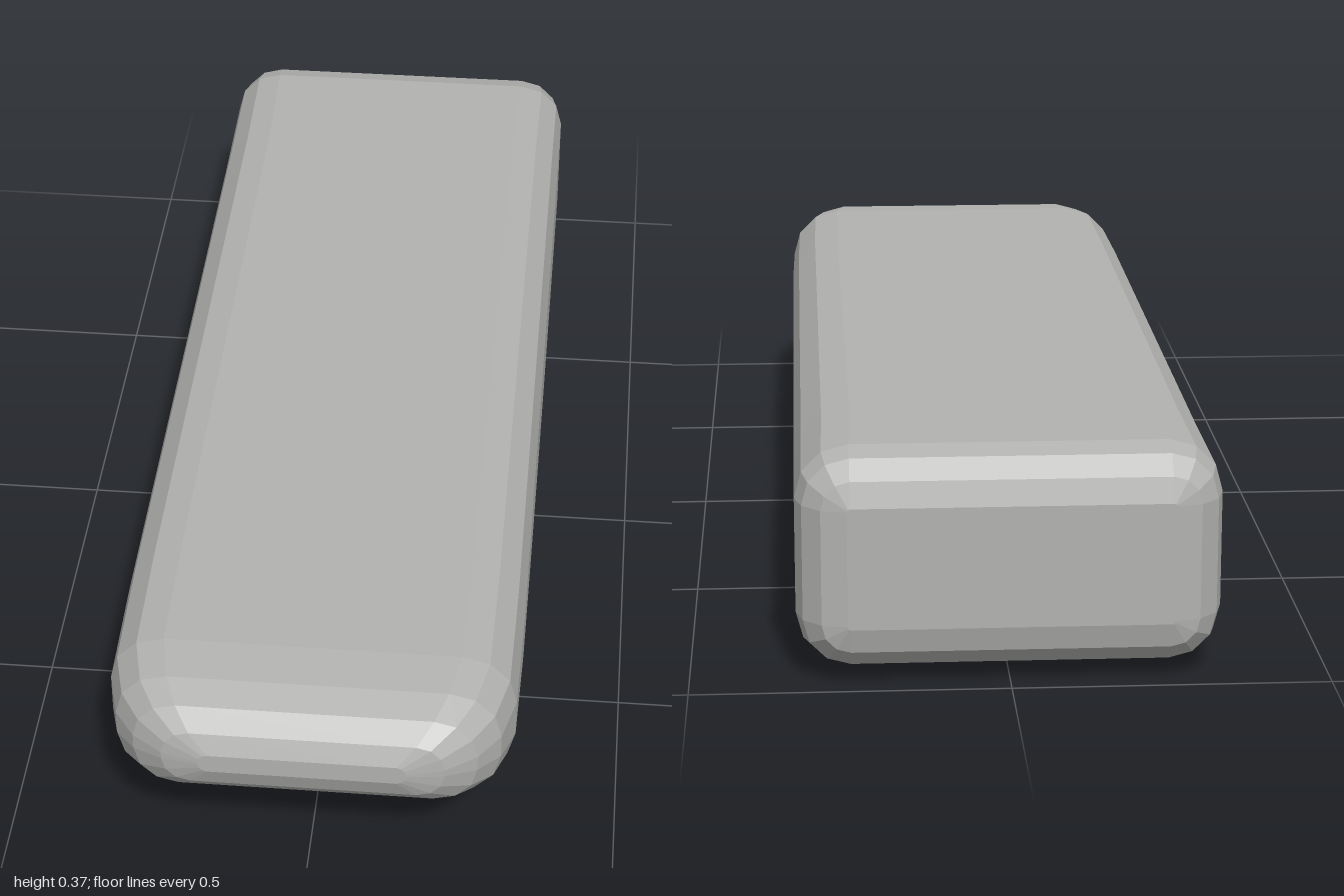
import * as THREE from 'three';

// Cross-sections from front to back: z, half width, bottom, top, corner radius
const SECTIONS = [
  [1.0, 0.165, 0.262, 0.296, 0.015],
  [0.985, 0.225, 0.225, 0.328, 0.045],
  [0.95, 0.275, 0.185, 0.353, 0.07],
  [0.9, 0.31, 0.155, 0.368, 0.085],
  [0.82, 0.33, 0.126, 0.375, 0.09],
  [0.6, 0.333, 0.096, 0.375, 0.09],
  [0.4, 0.333, 0.066, 0.375, 0.09],
  [0.2, 0.333, 0.041, 0.375, 0.09],
  [0, 0.333, 0.022, 0.375, 0.09],
  [-0.2, 0.333, 0.01, 0.375, 0.09],
  [-0.45, 0.333, 0.005, 0.375, 0.09],
  [-0.7, 0.333, 0.01, 0.375, 0.09],
  [-0.92, 0.333, 0.02, 0.375, 0.085],
  [-0.96, 0.322, 0.031, 0.364, 0.074],
  [-0.989, 0.293, 0.06, 0.335, 0.045],
  [-1, 0.253, 0.1, 0.295, 0.005],
];
const CORNER_STEPS = 3;

// Rounded rectangle ring, counter-clockwise seen from the front
function ring([z, w, bottom, top, r]) {
  const points = [];
  const corners = [[w - r, top - r], [r - w, top - r], [r - w, bottom + r], [w - r, bottom + r]];
  corners.forEach(([cx, cy], q) => {
    for (let s = 0; s <= CORNER_STEPS; s++) {
      const a = (q + s / CORNER_STEPS) * Math.PI / 2;
      points.push([cx + r * Math.cos(a), cy + r * Math.sin(a), z]);
    }
  });
  return points;
}

// Height of the curved underside at a given z
function undersideY(z) {
  for (let i = 0; i < SECTIONS.length - 1; i++) {
    const a = SECTIONS[i], b = SECTIONS[i + 1];
    if (z <= a[0] && z >= b[0]) return THREE.MathUtils.mapLinear(z, a[0], b[0], a[2], b[2]);
  }
  return 0;
}

// Skin the rings and close both ends
function bodyGeometry() {
  const rings = SECTIONS.map(ring);
  const n = rings[0].length;
  const positions = rings.flat(2);
  const index = [];
  for (let i = 0; i < rings.length - 1; i++) {
    for (let j = 0; j < n; j++) {
      const k = (j + 1) % n;
      const a = i * n + j, b = i * n + k, c = b + n, d = a + n;
      index.push(a, d, c, a, c, b);
    }
  }
  const last = (rings.length - 1) * n;
  for (let j = 1; j < n - 1; j++) {
    index.push(0, j, j + 1);
    index.push(last, last + j + 1, last + j);
  }
  const geometry = new THREE.BufferGeometry();
  geometry.setAttribute('position', new THREE.Float32BufferAttribute(positions, 3));
  geometry.setIndex(index);
  geometry.computeVertexNormals();
  return geometry;
}

// Thin plate bent along the underside
function padGeometry(zFront, zBack) {
  const geometry = new THREE.BoxGeometry(0.434, 0.009, zFront - zBack, 1, 1, 16);
  geometry.translate(0, -0.0005, (zFront + zBack) / 2);
  const p = geometry.attributes.position;
  for (let i = 0; i < p.count; i++) p.setY(i, p.getY(i) + undersideY(p.getZ(i)));
  geometry.computeVertexNormals();
  return geometry;
}

export function createModel() {
  const model = new THREE.Group();
  model.name = 'roundedWedge';
  const grey = new THREE.MeshStandardMaterial({ color: 0xb2b2b0, flatShading: true });
  grey.name = 'grey';

  const add = (name, geometry) => {
    const mesh = new THREE.Mesh(geometry, grey);
    mesh.name = name;
    model.add(mesh);
  };

  add('body', bodyGeometry());
  add('frontPad', padGeometry(0.82, 0.06));
  add('rearPad', padGeometry(0.03, -0.7));
  return model;
}
